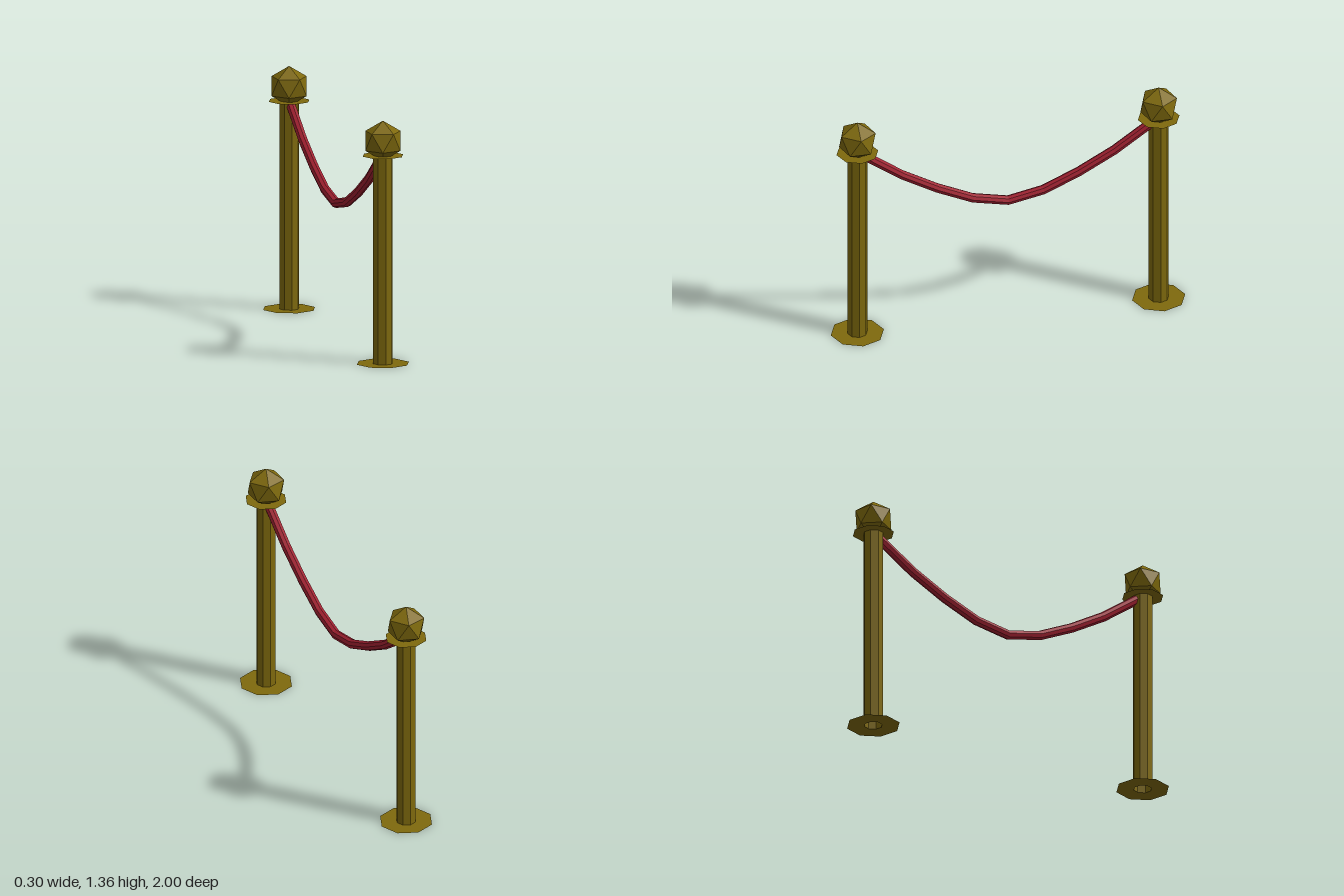
import * as THREE from 'three';

export function createModel() {
  const model = new THREE.Group();
  model.name = 'ropeBarrier';

  const brass = new THREE.MeshStandardMaterial({ name: 'brass', color: 0x7e690d, flatShading: true, side: THREE.DoubleSide });
  const red = new THREE.MeshStandardMaterial({ name: 'redRope', color: 0xa02030, flatShading: true, side: THREE.DoubleSide });

  const add = (parent, name, geometry, material, y = 0) => {
    const mesh = new THREE.Mesh(geometry, material);
    mesh.name = name;
    mesh.position.y = y;
    parent.add(mesh);
  };

  // Flat eight-sided plates with a hole for the tube
  const plate = (radius) => new THREE.RingGeometry(0.05, radius, 8).rotateX(-Math.PI / 2);
  const tube = new THREE.CylinderGeometry(0.056, 0.056, 1.165, 8, 1, true);
  // Twenty-sided knob turned so that one corner points straight up
  const knob = new THREE.IcosahedronGeometry(0.113, 0).rotateZ(-Math.atan(2 / (1 + Math.sqrt(5))));

  // Two matching posts
  for (const [name, z] of [['frontPost', 0.85], ['backPost', -0.85]]) {
    const post = new THREE.Group();
    post.name = name;
    post.position.z = z;
    add(post, 'base', plate(0.15), brass);
    add(post, 'tube', tube, brass, 1.165 / 2);
    add(post, 'collar', plate(0.117), brass, 1.165);
    add(post, 'knob', knob, brass, 1.247);
    model.add(post);
  }

  // Sagging rope in eight straight pieces, its ends tucked into the posts
  const half = [[0.81, 1.14], [0.6, 0.99], [0.4, 0.877], [0.2, 0.786]];
  const points = [
    ...half.map(([z, y]) => new THREE.Vector3(0, y, z)),
    new THREE.Vector3(0, 0.744, 0),
    ...half.reverse().map(([z, y]) => new THREE.Vector3(0, y, -z)),
  ];
  const path = new THREE.CatmullRomCurve3(points);
  path.getPointAt = path.getPoint;
  path.getTangentAt = path.getTangent;
  add(model, 'rope', new THREE.TubeGeometry(path, 8, 0.027, 8), red);

  return model;
}
